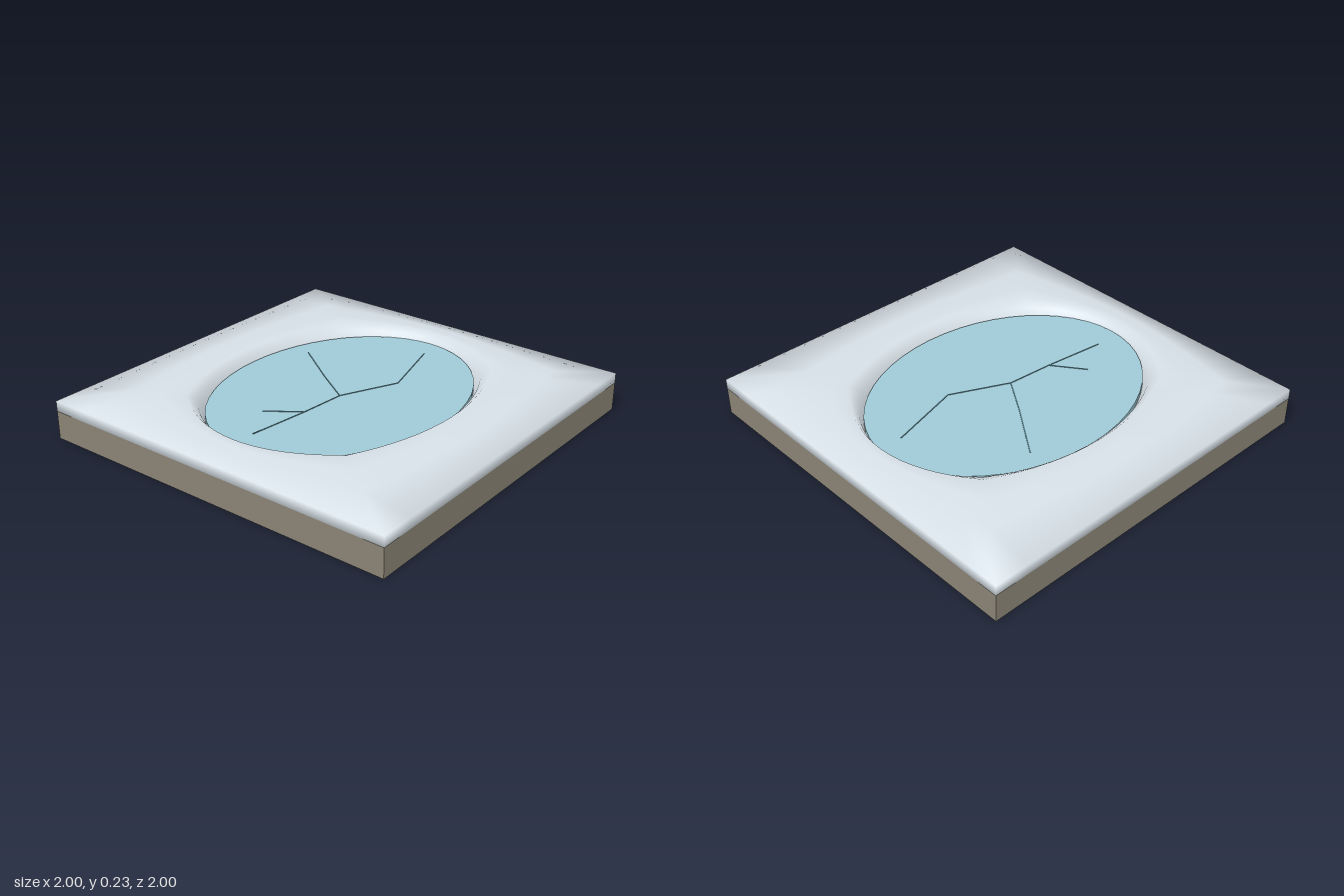
import * as THREE from 'three';

const RX = 0.775, RZ = 0.6, ICE_Y = 0.18, SEGMENTS = 64;

// Snow cross-section from the pond outwards:
// t = 0 at the pond, 1 at the square edge; tilt = lean of the surface normal in degrees
const PROFILE = [
  { t: 0, y: 0.15, tilt: -62 },
  { t: 0.05, y: 0.205, tilt: -45 },
  { t: 0.125, y: 0.235, tilt: -8 },
  { t: 0.3, y: 0.23, tilt: 5 },
  { t: 0.55, y: 0.222, tilt: 7 },
  { t: 1, y: 0.205, tilt: 48 },
  { t: 1, y: 0.15, tilt: 120 },
];

// Rings that morph from the oval pond to the square tile
function snowGeometry() {
  const pos = [], nor = [], index = [];
  const row = SEGMENTS + 1;
  PROFILE.forEach(({ t, y, tilt }, i) => {
    const lean = THREE.MathUtils.degToRad(tilt);
    for (let j = 0; j <= SEGMENTS; j++) {
      const a = (j / SEGMENTS) * Math.PI * 2;
      const c = Math.cos(a), s = Math.sin(a);
      const m = Math.max(Math.abs(c), Math.abs(s));
      pos.push(THREE.MathUtils.lerp(RX * c, c / m, t), y, THREE.MathUtils.lerp(RZ * s, s / m, t));

      const oval = new THREE.Vector2(c / RX, s / RZ).normalize();
      const side = new THREE.Vector2(
        Math.abs(c) > m - 1e-6 ? Math.sign(c) : 0,
        Math.abs(s) > m - 1e-6 ? Math.sign(s) : 0
      ).normalize();
      const out = oval.lerp(side, t).normalize();
      nor.push(out.x * Math.sin(lean), Math.cos(lean), out.y * Math.sin(lean));

      if (i < PROFILE.length - 1 && j < SEGMENTS) {
        const p = i * row + j, q = p + row;
        index.push(p, p + 1, q, p + 1, q + 1, q);
      }
    }
  });
  const geo = new THREE.BufferGeometry();
  geo.setAttribute('position', new THREE.Float32BufferAttribute(pos, 3));
  geo.setAttribute('normal', new THREE.Float32BufferAttribute(nor, 3));
  geo.setIndex(index);
  return geo;
}

export function createModel() {
  const model = new THREE.Group();
  model.name = 'frozenPondTile';

  const material = (name, color) => {
    const m = new THREE.MeshStandardMaterial({ color });
    m.name = name;
    return m;
  };
  const earth = material('earth', 0x8a8475);
  const snow = material('snow', 0xe4eef5);
  const ice = material('ice', 0x9fcbd7);
  const crack = material('crack', 0x587f8b);

  const add = (name, geo, mat, parent = model) => {
    const mesh = new THREE.Mesh(geo, mat);
    mesh.name = name;
    parent.add(mesh);
    return mesh;
  };

  // Earth slab
  add('base', new THREE.BoxGeometry(2, 0.15, 2).translate(0, 0.075, 0), earth);

  // Snow bank with a raised rim around the pond
  add('snowBank', snowGeometry(), snow);

  // Oval sheet of ice
  const sheet = new THREE.CylinderGeometry(1, 1, ICE_Y - 0.15, 48);
  sheet.scale(RX, 1, RZ).translate(0, (ICE_Y + 0.15) / 2, 0);
  add('iceSheet', sheet, ice);

  // Branching cracks as thin strips, given as [x, z] points
  const cracks = new THREE.Group();
  cracks.name = 'cracks';
  model.add(cracks);
  const paths = [
    [[-0.63, -0.04], [-0.3, 0], [-0.05, 0.02], [0.25, 0.16], [0.64, 0.05]],
    [[-0.05, 0.02], [0.08, -0.18], [0.27, -0.45]],
    [[-0.3, 0], [-0.42, -0.165]],
  ];
  for (const path of paths) {
    for (let i = 1; i < path.length; i++) {
      const [x0, z0] = path[i - 1], [x1, z1] = path[i];
      const length = Math.hypot(x1 - x0, z1 - z0);
      const strip = add('crack', new THREE.BoxGeometry(length, 0.004, 0.006), crack, cracks);
      strip.position.set((x0 + x1) / 2, ICE_Y + 0.001, (z0 + z1) / 2);
      strip.rotation.y = -Math.atan2(z1 - z0, x1 - x0);
    }
  }

  return model;
}
